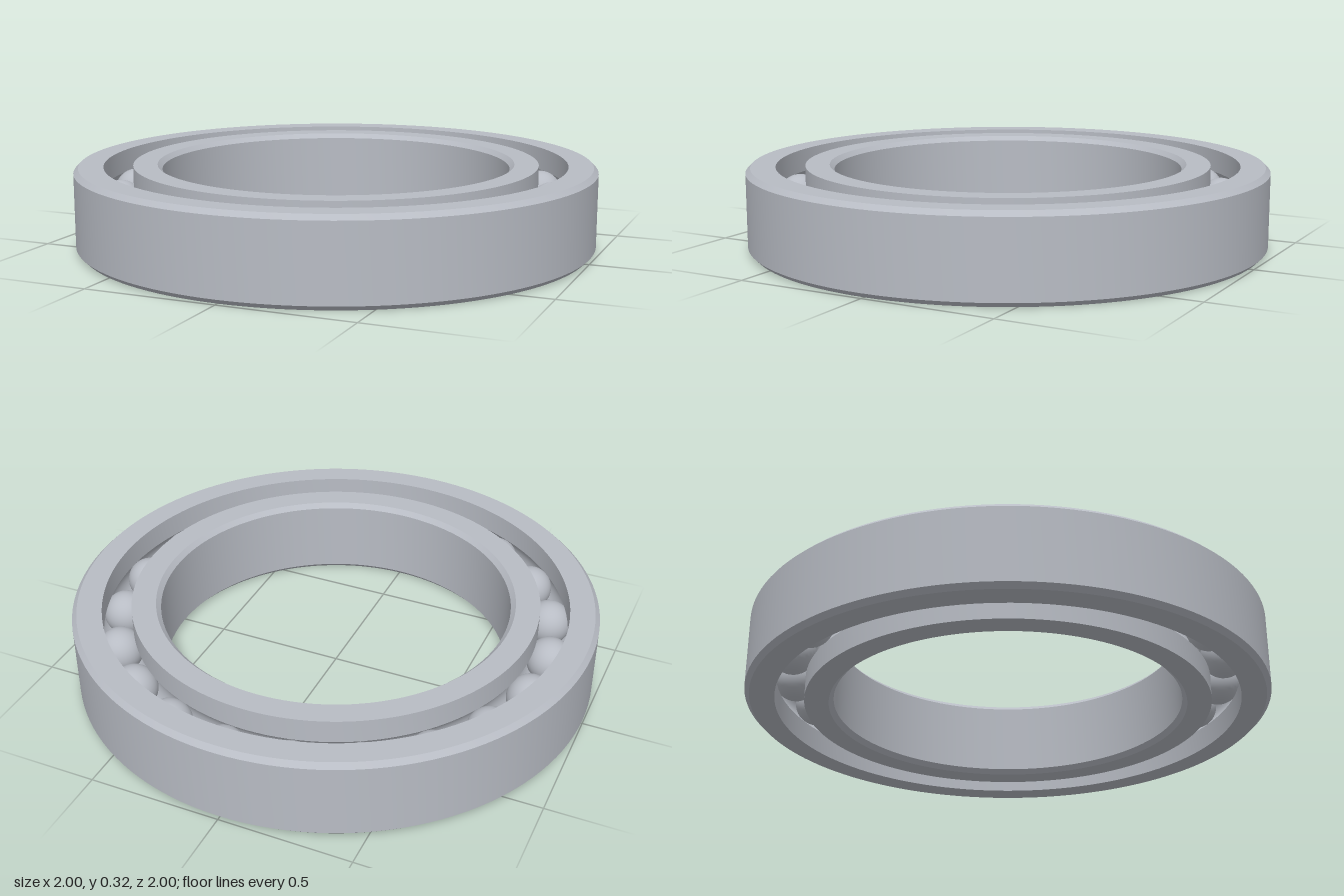
import * as THREE from 'three';
import { toCreasedNormals } from 'three/addons/utils/BufferGeometryUtils.js';

const HEIGHT = 0.316;
const MID = HEIGHT / 2;
const CHAMFER = 0.018;
const PITCH = 0.832; // radius of the circle of ball centres
const BALL = 0.087;
const BALL_COUNT = 21;

// Points of the ball groove where it cuts into a wall at the given radius,
// running upwards; side is +1 for the outer ring and -1 for the inner ring
function groove(wall, side) {
  const r = BALL + 0.001;
  const half = Math.acos(Math.abs(wall - PITCH) / r);
  const points = [];
  for (let i = 0; i <= 12; i++) {
    const a = -half + (2 * half * i) / 12;
    points.push([PITCH + side * r * Math.cos(a), MID + r * Math.sin(a)]);
  }
  return points;
}

// Revolve a closed counter-clockwise section, keeping its corners sharp
function ring(name, section, material) {
  const points = [...section, section[0]].map(([x, y]) => new THREE.Vector2(x, y));
  const geometry = toCreasedNormals(new THREE.LatheGeometry(points, 128), 0.4);
  const mesh = new THREE.Mesh(geometry, material);
  mesh.name = name;
  return mesh;
}

export function createModel() {
  const model = new THREE.Group();
  model.name = 'ballBearing';
  const steel = new THREE.MeshStandardMaterial({ color: 0xb8bcc4 });
  steel.name = 'steel';

  // Outer ring: chamfered outside, grooved inside
  const outerWall = 0.888;
  model.add(ring('outerRing', [
    [outerWall, 0], [1 - CHAMFER, 0], [1, CHAMFER],
    [1, HEIGHT - CHAMFER], [1 - CHAMFER, HEIGHT], [outerWall, HEIGHT],
    ...groove(outerWall, 1).reverse(),
  ], steel));

  // Inner ring: grooved outside, chamfered bore
  const innerWall = 0.777, bore = 0.667;
  model.add(ring('innerRing', [
    [bore + CHAMFER, 0], [innerWall, 0],
    ...groove(innerWall, -1),
    [innerWall, HEIGHT], [bore + CHAMFER, HEIGHT],
    [bore, HEIGHT - CHAMFER], [bore, CHAMFER],
  ], steel));

  // Balls evenly spaced in the race
  const balls = new THREE.Group();
  balls.name = 'balls';
  const ballGeometry = new THREE.SphereGeometry(BALL, 32, 20);
  for (let i = 0; i < BALL_COUNT; i++) {
    const a = (i / BALL_COUNT) * Math.PI * 2;
    const ball = new THREE.Mesh(ballGeometry, steel);
    ball.name = 'ball';
    ball.position.set(PITCH * Math.cos(a), MID, PITCH * Math.sin(a));
    balls.add(ball);
  }
  model.add(balls);
  return model;
}
